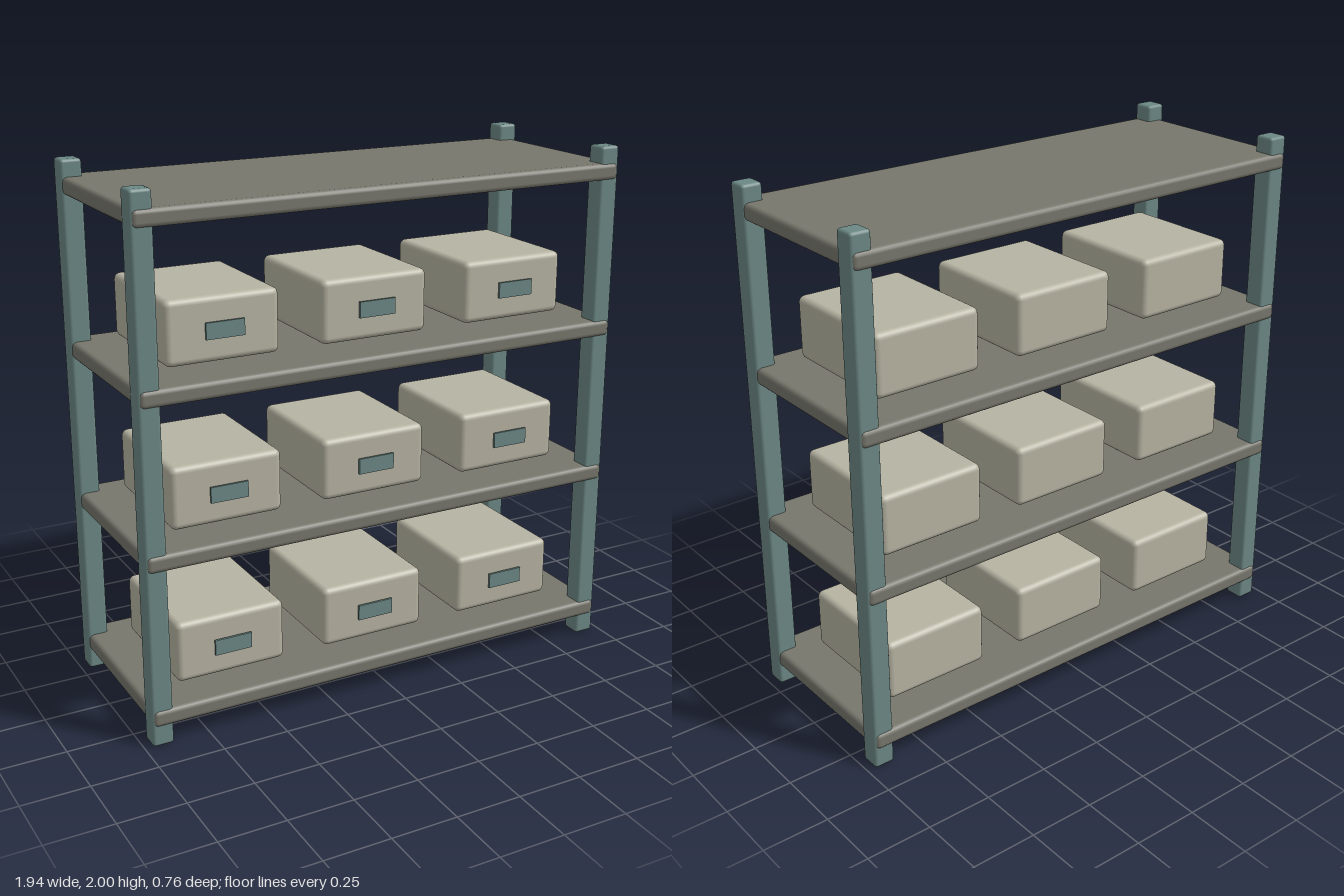
import * as THREE from 'three';
import { RoundedBoxGeometry } from 'three/addons/geometries/RoundedBoxGeometry.js';

const paint = (name, color) => {
  const m = new THREE.MeshStandardMaterial({ color });
  m.name = name;
  return m;
};

export function createModel() {
  const model = new THREE.Group();
  model.name = 'storageRack';

  const teal = paint('teal', 0x6b8784);
  const grey = paint('warmGrey', 0x77766c);
  const beige = paint('beige', 0xb6b3a2);

  const postGeo = new RoundedBoxGeometry(0.08, 2, 0.08, 2, 0.012);
  const shelfGeo = new RoundedBoxGeometry(1.93, 0.064, 0.765, 2, 0.018);
  const binGeo = new RoundedBoxGeometry(0.432, 0.237, 0.495, 3, 0.024);
  const labelGeo = new THREE.BoxGeometry(0.146, 0.06, 0.009);

  const add = (name, geo, mat, x, y, z) => {
    const mesh = new THREE.Mesh(geo, mat);
    mesh.name = name;
    mesh.position.set(x, y, z);
    model.add(mesh);
  };

  // Corner posts
  for (const x of [-0.93, 0.93])
    for (const z of [-0.335, 0.335]) add('post', postGeo, teal, x, 1, z);

  // Four shelves, the lower three carrying bins with front labels
  [0.11, 0.705, 1.3, 1.905].forEach((y, level) => {
    add('shelf', shelfGeo, grey, 0, y, 0);
    if (level === 3) return;
    const binY = 0.272 + level * 0.6;
    for (const x of [-0.6, 0, 0.6]) {
      add('bin', binGeo, beige, x, binY, 0);
      add('binLabel', labelGeo, teal, x, binY, 0.262);
    }
  });

  return model;
}
